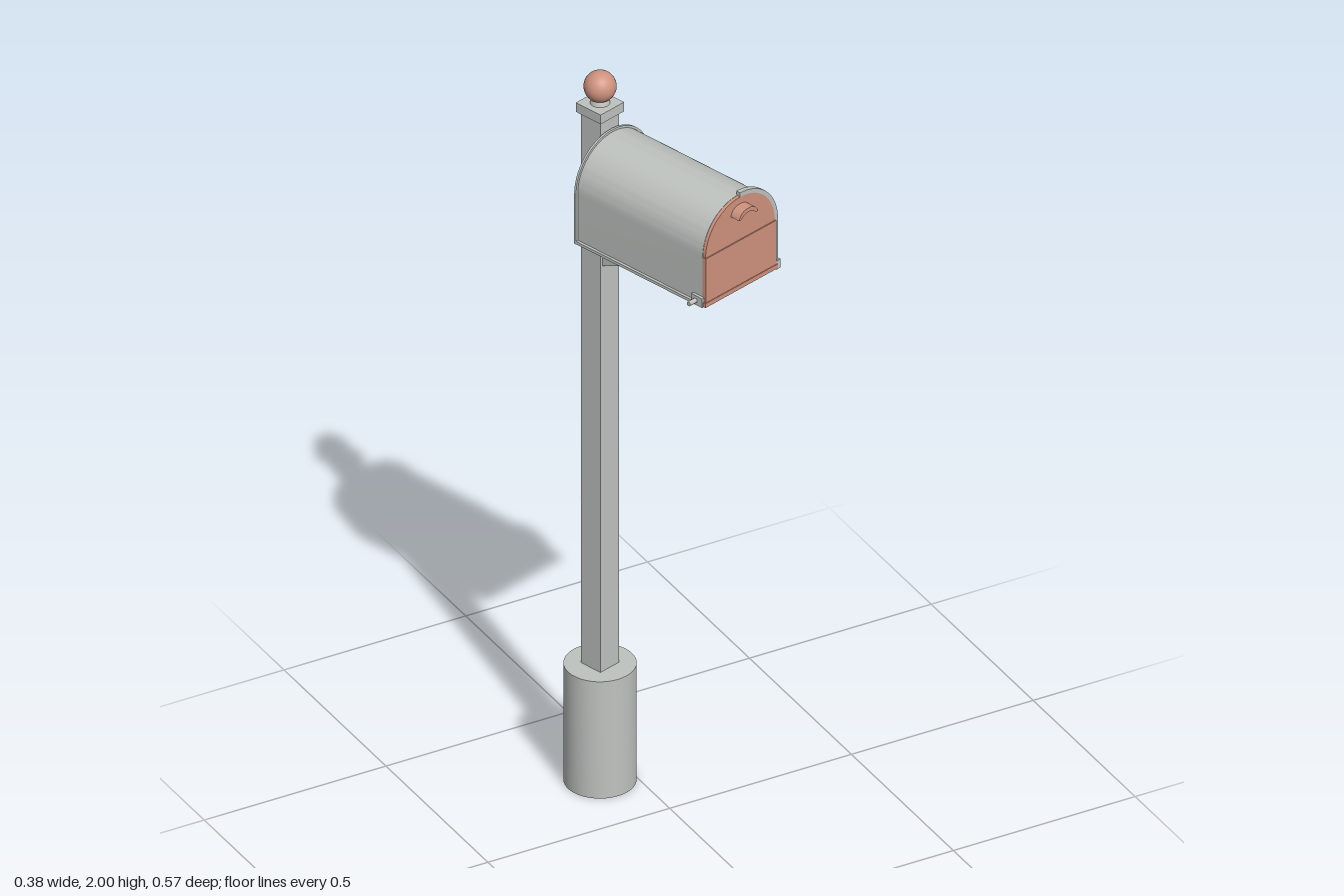
import * as THREE from 'three';
import { toCreasedNormals } from 'three/addons/utils/BufferGeometryUtils.js';

const grey = new THREE.MeshStandardMaterial({ color: 0xbfc3c0 });
grey.name = 'galvanised grey';
const copper = new THREE.MeshStandardMaterial({ color: 0xd0937f });
copper.name = 'copper';

const SPRING = 1.728; // height where the arch begins

export function createModel() {
  const model = new THREE.Group();
  model.name = 'mailbox';
  // everything is turned about the post axis
  model.position.set(-0.081, 0, -0.197);
  model.rotation.y = 0.295;

  const add = (name, geometry, material, x = 0, y = 0, z = 0) => {
    const mesh = new THREE.Mesh(geometry, material);
    mesh.name = name;
    mesh.position.set(x, y, z);
    model.add(mesh);
    return mesh;
  };
  const box = (name, material, w, h, d, x, y, z) =>
    add(name, new THREE.BoxGeometry(w, h, d), material, x, y, z);
  const extrude = (shape, depth, curveSegments = 24) =>
    toCreasedNormals(new THREE.ExtrudeGeometry(shape, { depth, curveSegments, bevelEnabled: false }), 0.5);
  // upright slab with a half-round top
  const arch = (half, bottom) => {
    const s = new THREE.Shape();
    s.moveTo(-half, bottom);
    s.lineTo(half, bottom);
    s.lineTo(half, SPRING);
    s.absarc(0, SPRING, half, 0, Math.PI, false);
    s.closePath();
    return s;
  };

  // footing: cylinder with a square socket
  const P = 0.032;
  const foot = new THREE.Shape();
  foot.absarc(0, 0, 0.088, 0, Math.PI * 2, false);
  foot.holes.push(new THREE.Path([[-P, -P], [-P, P], [P, P], [P, -P]].map(([x, y]) => new THREE.Vector2(x, y))));
  add('footing', extrude(foot, 0.33).rotateX(-Math.PI / 2), grey);

  // post, cap and ball finial
  box('post', grey, P * 2, 1.83, P * 2, 0, 0.975, 0);
  box('postCap', grey, 0.082, 0.026, 0.082, 0, 1.901, 0);
  add('finialNeck', new THREE.CylinderGeometry(0.02, 0.025, 0.016, 24), grey, 0, 1.92, 0);
  add('finialBall', new THREE.SphereGeometry(0.04, 32, 20), copper, 0, 1.96, 0);

  // mailbox shell and back plate
  add('shell', extrude(arch(0.121, 1.59), 0.415), grey, 0, 0, 0.042);
  add('backPlate', extrude(arch(0.127, 1.587), 0.006), grey, 0, 0, 0.036);
  box('sideLip', grey, 0.007, 0.008, 0.4, -0.1245, 1.593, 0.242);

  // door: full arch with a slightly proud lower panel
  add('door', extrude(arch(0.12, 1.592), 0.01), copper, 0, 0, 0.456);
  box('doorLowerPanel', copper, 0.244, 0.128, 0.012, 0, 1.664, 0.463);
  box('doorBottomLip', copper, 0.25, 0.012, 0.018, 0, 1.598, 0.462);

  // half-round rim wrapping one side of the door
  const rim = new THREE.Shape();
  rim.moveTo(0.12, 1.59);
  rim.lineTo(0.131, 1.59);
  rim.lineTo(0.131, SPRING);
  rim.absarc(0, SPRING, 0.131, 0, Math.PI / 2, false);
  rim.lineTo(0, SPRING + 0.12);
  rim.absarc(0, SPRING, 0.12, Math.PI / 2, 0, true);
  rim.closePath();
  add('doorRim', extrude(rim, 0.013), grey, 0, 0, 0.453);
  box('rimTab', grey, 0.014, 0.024, 0.014, 0.13, 1.6, 0.462);

  // crescent door handle
  const handle = new THREE.Shape();
  handle.moveTo(-0.033, 1.806);
  handle.quadraticCurveTo(-0.026, 1.829, 0, 1.829);
  handle.quadraticCurveTo(0.026, 1.829, 0.033, 1.806);
  handle.lineTo(0.025, 1.806);
  handle.quadraticCurveTo(0, 1.83, -0.025, 1.806);
  handle.closePath();
  add('handle', extrude(handle, 0.028, 12), copper, 0, 0, 0.466);

  // hinge plate and pin
  box('hingePlate', grey, 0.008, 0.026, 0.036, -0.125, 1.603, 0.445);
  add('hingePin', new THREE.CylinderGeometry(0.006, 0.006, 0.028, 16).rotateZ(Math.PI / 2), grey, -0.139, 1.603, 0.441);

  // bracket under the shell, drawn as (z, y)
  const bracket = new THREE.Shape([
    [0.03, 1.475], [0.25, 1.574], [0.42, 1.576], [0.42, 1.59], [0.21, 1.59], [0.03, 1.518],
  ].map(([z, y]) => new THREE.Vector2(z, y)));
  add('bracket', extrude(bracket, 0.05).rotateY(-Math.PI / 2), grey, 0.025, 0, 0);
  box('mountPlate', grey, 0.13, 0.012, 0.17, 0, 1.583, 0.335);
  for (const z of [0.275, 0.395]) {
    for (const x of [-0.042, 0.042]) box('mountBolt', grey, 0.02, 0.01, 0.025, x, 1.573, z);
  }
  return model;
}
